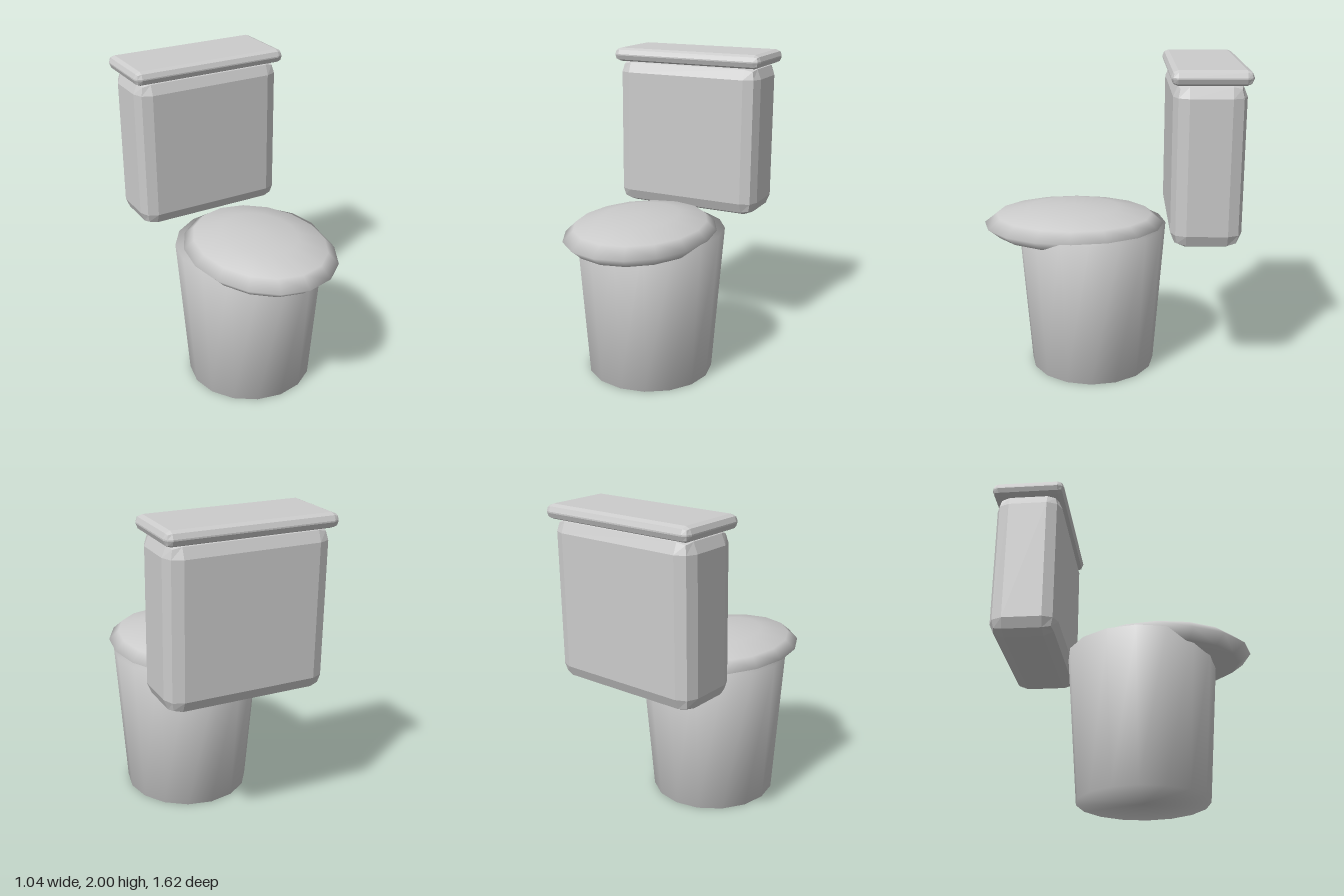
import * as THREE from 'three';
import { mergeVertices } from 'three/addons/utils/BufferGeometryUtils.js';
import { RoundedBoxGeometry } from 'three/addons/geometries/RoundedBoxGeometry.js';

const smooth = new THREE.MeshStandardMaterial({ color: 0xcccccc });
const faceted = new THREE.MeshStandardMaterial({ color: 0xcccccc, flatShading: true });

// Weld all vertices so shading flows across every edge
function weld(geometry) {
  geometry.deleteAttribute('uv');
  geometry.deleteAttribute('normal');
  const welded = mergeVertices(geometry);
  welded.computeVertexNormals();
  return welded;
}

export function createModel() {
  const model = new THREE.Group();
  model.name = 'toilet';

  function add(name, geometry, material, x, y, z) {
    const mesh = new THREE.Mesh(geometry, material);
    mesh.name = name;
    mesh.position.set(x, y, z);
    model.add(mesh);
    return mesh;
  }

  // Box with two-step bevelled edges, placed by its y and z ranges
  function bevelledBox(name, width, [y0, y1], [z0, z1], radius) {
    const geometry = new RoundedBoxGeometry(width, y1 - y0, z1 - z0, 1, radius);
    add(name, geometry, faceted, 0, (y0 + y1) / 2, (z0 + z1) / 2);
  }

  // Tapered bowl standing on the floor
  add('bowl', weld(new THREE.CylinderGeometry(0.474, 0.404, 0.955, 16)), smooth, 0, 0.4775, 0.118);

  // Flattened oval seat cover overhanging the front of the bowl
  const seat = new THREE.SphereGeometry(1, 16, 6).scale(0.45, 0.123, 0.576);
  add('seatCover', weld(seat), smooth, 0, 0.955, 0.233);

  // Water tank and its lid
  bevelledBox('tank', 1.0, [0.935, 1.93], [-0.785, -0.36], 0.09);
  bevelledBox('tankLid', 1.04, [1.912, 2.0], [-0.808, -0.342], 0.04);

  return model;
}
